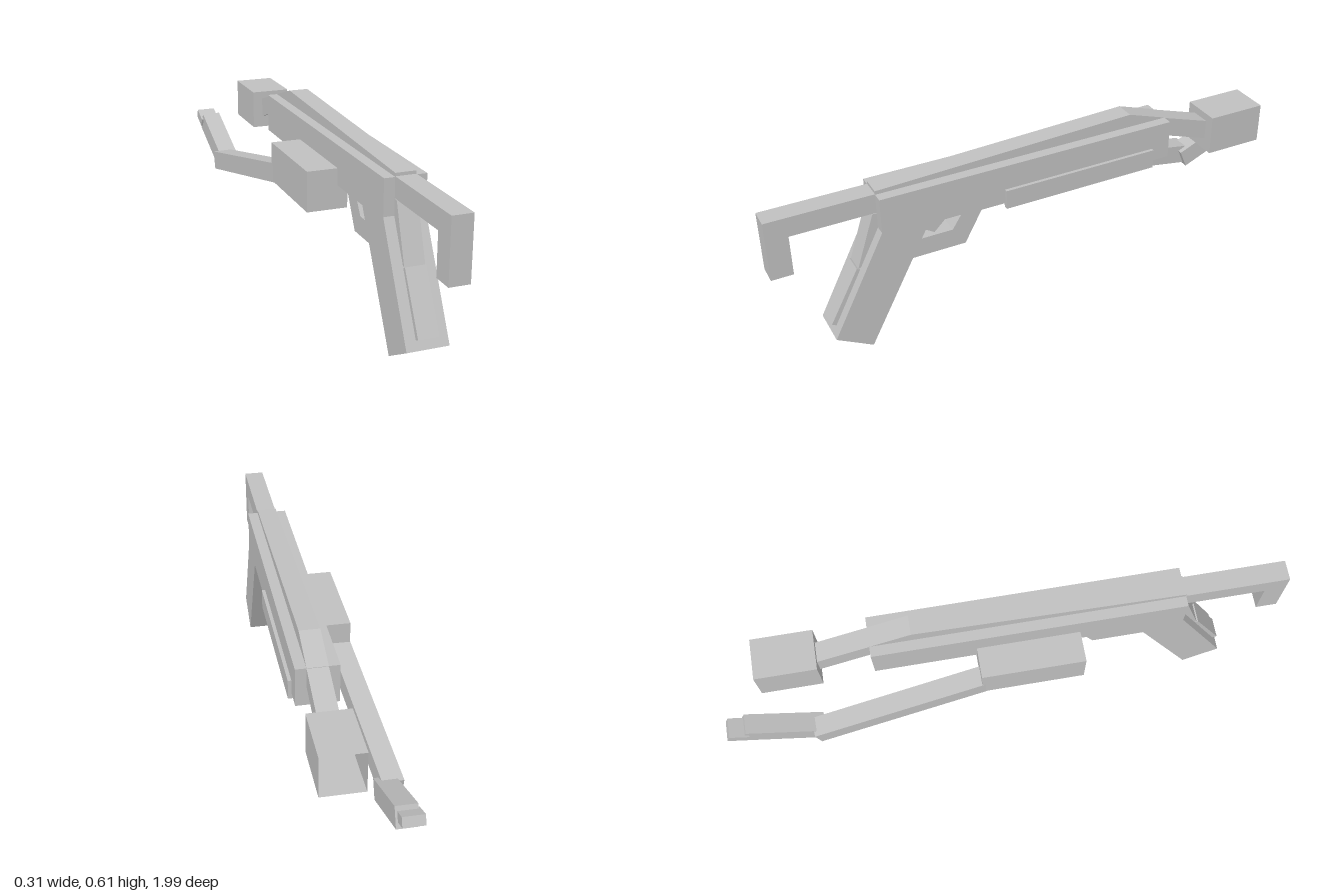
import * as THREE from 'three';

const grey = new THREE.MeshStandardMaterial({ color: 0xc0c0c0 });
grey.name = 'plain grey';
grey.side = THREE.DoubleSide;

export function createModel() {
  const group = new THREE.Group();
  const add = (name, geometry) => {
    const mesh = new THREE.Mesh(geometry, grey);
    mesh.name = name;
    group.add(mesh);
    return mesh;
  };
  // Side profile of [z, y] points, extruded from x0 to x1
  const slab = (name, points, x0, x1) => {
    const shape = new THREE.Shape(points.map(([z, y]) => new THREE.Vector2(z, y)));
    const g = new THREE.ExtrudeGeometry(shape, { depth: x1 - x0, bevelEnabled: false });
    g.rotateY(-Math.PI / 2).translate(x1, 0, 0);
    return add(name, g);
  };
  // Axis-aligned box from its limits
  const box = (name, x0, x1, y0, y1, z0, z1) => add(name,
    new THREE.BoxGeometry(x1 - x0, y1 - y0, z1 - z0)
      .translate((x0 + x1) / 2, (y0 + y1) / 2, (z0 + z1) / 2));
  // Square bar between two points
  const bar = (name, a, b, w, h) => {
    const from = new THREE.Vector3(...a), to = new THREE.Vector3(...b);
    const mesh = add(name, new THREE.BoxGeometry(w, h, from.distanceTo(to)));
    mesh.position.copy(from).add(to).multiplyScalar(0.5);
    mesh.lookAt(to);
    return mesh;
  };
  const IN0 = 0.037, IN1 = 0.108; // limits of the narrow centre parts

  // Main body with slanted grip
  slab('bodyAndGrip', [[0.635, 0.565], [0.635, 0.44], [0.825, 0.07], [0.70, 0],
    [0.475, 0.425], [-0.455, 0.425], [-0.455, 0.565]], 0, 0.145);
  slab('topRail', [[0.635, 0.53], [0.635, 0.578], [-0.31, 0.613], [-0.455, 0.565], [-0.455, 0.53]], IN0, IN1);
  slab('gripSpine', [[0.635, 0.495], [0.65, 0.495], [0.715, 0.30], [0.60, 0.35]], IN0, IN1);
  slab('gripPlate', [[0.72, 0.302], [0.825, 0.107], [0.81, 0.10], [0.70, 0.29]], IN0, IN1);

  // Hooked bar at the front
  slab('hookBar', [[0.62, 0.567], [1, 0.567], [1, 0.352], [0.925, 0.352], [0.925, 0.497], [0.62, 0.497]], IN0, IN1);

  // Neck and the open box at the back
  slab('neck', [[-0.45, 0.565], [-0.45, 0.495], [-0.645, 0.43], [-0.645, 0.502]], IN0, IN1);
  const openBox = new THREE.BoxGeometry(0.145, 0.145, 0.215);
  openBox.setIndex(Array.from(openBox.index.array).slice(0, 30)); // drop the -z face
  add('openEndBox', openBox.translate(0.0725, 0.459, -0.748));

  // Side parts
  box('sidePlate', 0.14, 0.157, 0.405, 0.475, -0.385, 0.195);
  box('sideBlock', -0.109, 0.036, 0.342, 0.485, -0.097, 0.265);

  // Guard and the small lever inside it
  slab('guard', [[0.60, 0.28], [0.33, 0.28], [0.25, 0.425], [0.325, 0.425], [0.375, 0.348], [0.56, 0.348]], IN0, IN1);
  slab('lever', [[0.495, 0.388], [0.447, 0.43], [0.39, 0.398], [0.437, 0.352]], IN0 + 0.01, IN1 - 0.01);

  // Jointed arm reaching back from the side block
  bar('armInner', [-0.073, 0.376, -0.08], [-0.119, 0.247, -0.70], 0.071, 0.071);
  bar('armOuter', [-0.1, 0.238, -0.68], [-0.1, 0.349, -0.94], 0.071, 0.071);
  bar('armTip', [-0.107, 0.345, -0.925], [-0.107, 0.372, -0.988], 0.071, 0.034);

  return group;
}
